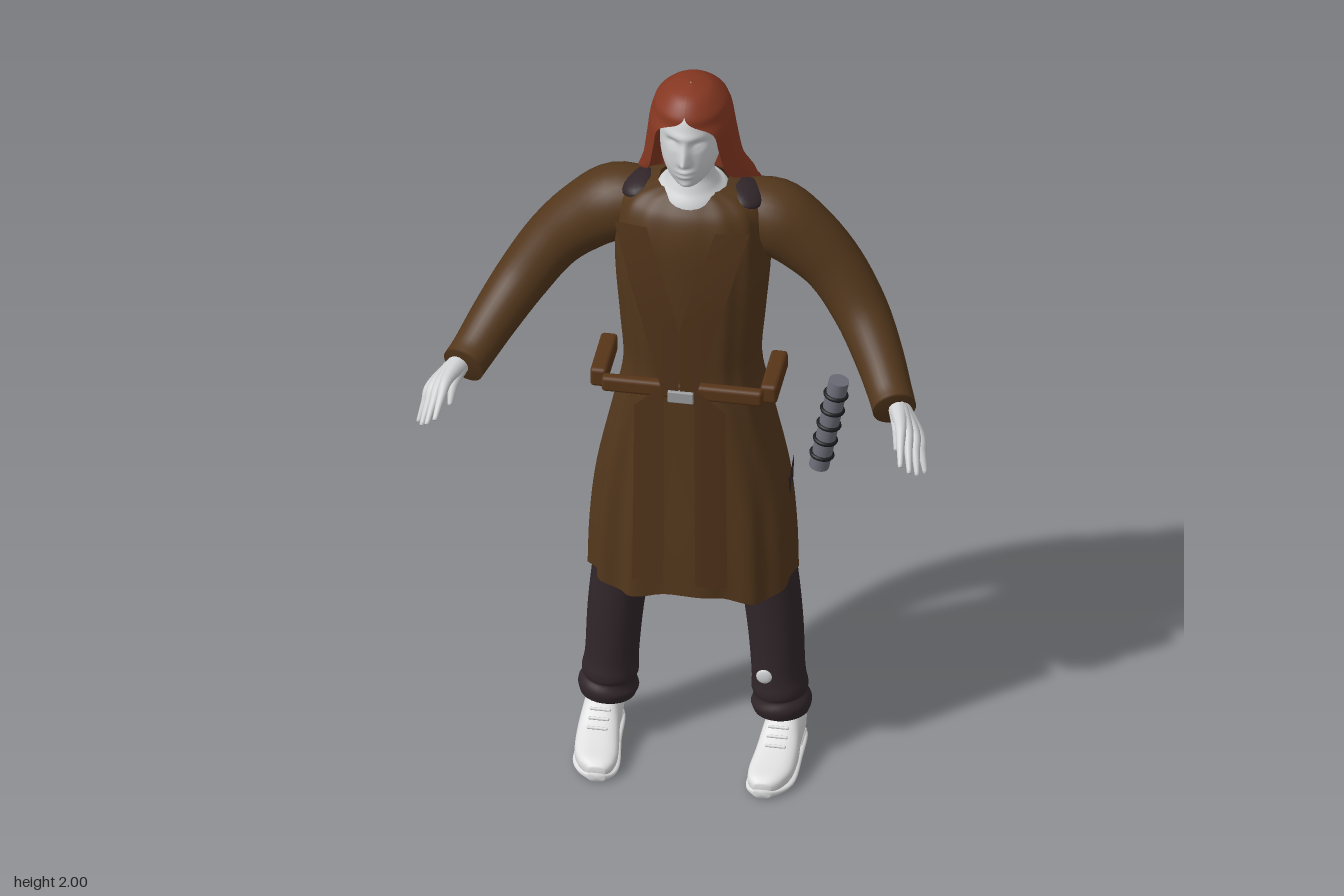
import * as THREE from 'three';
import { RoundedBoxGeometry } from 'three/addons/geometries/RoundedBoxGeometry.js';

const mat = (name, color, side = THREE.FrontSide) => {
  const m = new THREE.MeshStandardMaterial({ color, side });
  m.name = name;
  return m;
};
const V = (x, y, z) => new THREE.Vector3(x, y, z);
const spow = (v, p) => Math.sign(v) * Math.abs(v) ** p;
const bell = (v, w) => Math.exp(-((v / w) ** 2));

// Smoothly resample a table of cross-section values, n steps per interval
function spline(table, n) {
  const out = [], last = table.length - 1;
  for (let i = 0; i < last; i++) {
    const [a, b, c, d] = [i - 1, i, i + 1, i + 2].map(k => table[Math.min(last, Math.max(0, k))]);
    for (let s = 0; s < n; s++) {
      const t = s / n;
      out.push(b.map((v, k) => v + 0.5 * t * (c[k] - a[k] + t * (2 * a[k] - 5 * v + 4 * c[k] - d[k]
        + t * (3 * (v - c[k]) + d[k] - a[k])))));
    }
  }
  out.push(table[last]);
  return out;
}

// Skin a list of equally long rows of points
function skin(rows, closed) {
  const n = rows[0].length, pos = [], index = [];
  rows.forEach(r => r.forEach(p => pos.push(p.x, p.y, p.z)));
  for (let i = 0; i < rows.length - 1; i++) {
    for (let j = 0; j < (closed ? n : n - 1); j++) {
      const a = i * n + j, b = i * n + (j + 1) % n;
      index.push(a, a + n, b, b, a + n, b + n);
    }
  }
  const g = new THREE.BufferGeometry();
  g.setAttribute('position', new THREE.Float32BufferAttribute(pos, 3));
  g.setIndex(index);
  g.computeVertexNormals();
  return g;
}
const ring = (n, fn) => Array.from({ length: n }, (_, j) => fn(j / n * Math.PI * 2));
const centre = row => {
  const c = row.reduce((s, p) => s.add(p), V(0, 0, 0)).divideScalar(row.length);
  return row.map(() => c.clone());
};
const capped = rows => skin([centre(rows[0]), ...rows, centre(rows[rows.length - 1])], true);

// Round limb through [x, y, z, radius] stations; s = -1 mirrors it
function limb(table, s = 1, sides = 20, steps = 5) {
  const st = spline(table, steps).map(([x, y, z, r]) => ({ p: V(x * s, y, z), r }));
  return capped(st.map(({ p, r }, i) => {
    const T = st[Math.min(i + 1, st.length - 1)].p.clone().sub(st[Math.max(i - 1, 0)].p).normalize();
    const u = V(0.5, 0.6, 0.6);
    u.addScaledVector(T, -u.dot(T)).normalize();
    const v = u.clone().cross(T);
    return ring(sides, a => p.clone().addScaledVector(u, r * Math.cos(a)).addScaledVector(v, r * Math.sin(a)));
  }));
}

export function createModel() {
  const root = new THREE.Group();
  const M = {
    robe: mat('robe brown', 0x53371c, THREE.DoubleSide),
    tabard: mat('tabard brown', 0x50331a, THREE.DoubleSide),
    belt: mat('belt brown', 0x573518),
    hair: mat('auburn hair', 0x863822, THREE.DoubleSide),
    skin: mat('pale skin', 0xd2d3d5),
    shoe: mat('pale shoe', 0xdedede),
    dark: mat('dark cloth', 0x31262a, THREE.DoubleSide),
    steel: mat('steel', 0x6c6c78),
    black: mat('black grip', 0x1c1c20),
    buckle: mat('buckle grey', 0x9c9da0),
  };
  const add = (name, geo, m, parent = root) => {
    const mesh = new THREE.Mesh(geo, m);
    mesh.name = name;
    parent.add(mesh);
    return mesh;
  };

  // Robe: [y, half width, front z, back z], with folds growing towards the hem
  const robeRows = spline([
    [1.685, 0.085, -0.04, -0.17], [1.665, 0.14, -0.015, -0.19], [1.63, 0.172, 0.015, -0.215],
    [1.56, 0.185, 0.035, -0.232], [1.45, 0.187, 0.04, -0.235], [1.3, 0.175, 0.038, -0.228],
    [1.17, 0.167, 0.03, -0.215], [1.05, 0.19, 0.035, -0.23], [0.85, 0.23, 0.045, -0.25],
    [0.68, 0.247, 0.055, -0.256], [0.54, 0.252, 0.058, -0.256],
  ], 5).map(([y, w, f, b]) => ring(96, a => {
    const low = Math.min(1, Math.max(0, (1.15 - y) / 0.4));
    const k = 1 + 0.03 * low * Math.sin(12 * a) + 0.012 * Math.sin(14 * a + y);
    const hem = 0.012 * low * Math.sin(5 * a + 1);
    return V(w * k * spow(Math.sin(a), 0.78), y + hem, (f + b) / 2 + (f - b) / 2 * k * spow(Math.cos(a), 0.78));
  }));
  add('robe', skin(robeRows, true), M.robe);

  // Tear in the skirt
  const tear = new THREE.Shape([[-0.04, 0.04], [-0.02, 0.02], [0.0, 0.035], [0.04, 0.05], [0.035, 0.0],
    [0.02, -0.03], [0.01, 0.0], [-0.01, -0.04], [-0.025, -0.01]].map(p => new THREE.Vector2(...p)));
  const tearMesh = add('skirtTear', new THREE.ShapeGeometry(tear), M.dark);
  tearMesh.position.set(0.246, 0.83, -0.08);
  tearMesh.rotation.y = Math.PI / 2;

  // Tabard strips: [y, inner x, outer x], bowed around the front
  const strip = (table, s) => skin(spline(table, 8).map(([y, a, b]) => Array.from({ length: 6 }, (_, j) => {
    const x = a + (b - a) * j / 5;
    return V(s * x, y, 0.1 - 0.65 * x * x - 0.022 * (Math.max(0, y - 1.4) / 0.25) ** 2);
  })), false);

  for (const s of [1, -1]) {
    const side = s > 0 ? 'left' : 'right';
    add(side + 'TabardUpper', strip([[1.65, 0.085, 0.168], [1.37, 0.002, 0.09], [1.19, 0.002, 0.045]], s), M.tabard);
    add(side + 'TabardLink', strip([[1.19, 0.035, 0.05], [1.13, 0.038, 0.113]], s), M.tabard);
    add(side + 'TabardLower', strip([[1.13, 0.038, 0.113], [0.87, 0.038, 0.115], [0.61, 0.04, 0.118]], s), M.tabard);

    // Sleeve
    add(side + 'Sleeve', limb([[0.1, 1.59, -0.13, 0.075], [0.19, 1.575, -0.135, 0.095], [0.27, 1.525, -0.132, 0.087],
      [0.35, 1.45, -0.118, 0.075], [0.42, 1.355, -0.08, 0.068], [0.475, 1.28, -0.01, 0.061],
      [0.515, 1.225, 0.06, 0.055], [0.535, 1.205, 0.105, 0.054]], s, 28), M.robe);

    // Hand: fingers run from the wrist through the knuckle to the tip
    const hand = new THREE.Group();
    hand.name = side + 'Hand';
    root.add(hand);
    const fingers = {
      indexFinger: [[0.562, 1.207, 0.172], [0.577, 1.145, 0.262]],
      middleFinger: [[0.578, 1.195, 0.17], [0.598, 1.125, 0.255]],
      ringFinger: [[0.593, 1.183, 0.163], [0.614, 1.107, 0.235]],
      littleFinger: [[0.603, 1.17, 0.152], [0.628, 1.092, 0.2]],
      thumb: [[0.55, 1.185, 0.145], [0.553, 1.14, 0.185]],
    };
    for (const [name, [k, t]] of Object.entries(fingers)) {
      const mid = k.map((v, i) => (v + t[i]) / 2 + (i === 1 ? 0.005 : 0));
      add(name, limb([[0.54, 1.21, 0.09, 0.026], [...k, 0.0155], [...mid, 0.0105], [...t, 0.006]], s, 10), M.skin, hand);
    }

    // Trouser leg with a bunched cuff
    add(side + 'TrouserLeg', limb([[0.1, 0.98, -0.11, 0.085], [0.14, 0.75, -0.12, 0.082], [0.177, 0.54, -0.135, 0.073],
      [0.197, 0.38, -0.132, 0.069], [0.206, 0.24, -0.128, 0.066], [0.21, 0.19, -0.126, 0.07],
      [0.211, 0.17, -0.126, 0.066], [0.214, 0.145, -0.125, 0.075], [0.215, 0.12, -0.124, 0.068]], s, 28), M.dark);

    // Shoe: [z, centre x, half width, top y]
    const shoeRows = (table, base) => capped(spline(table, 4).map(([z, x, w, top]) => ring(28, a =>
      V(s * x + w * spow(Math.sin(a), 0.75), base + (top - base) * (0.5 + 0.5 * spow(Math.cos(a), 0.7)), z))));
    add(side + 'Shoe', shoeRows([[-0.19, 0.226, 0.022, 0.09], [-0.175, 0.226, 0.042, 0.125], [-0.12, 0.225, 0.046, 0.13],
      [-0.07, 0.224, 0.048, 0.125], [-0.02, 0.222, 0.053, 0.088], [0.04, 0.216, 0.054, 0.065],
      [0.08, 0.209, 0.042, 0.054], [0.1, 0.205, 0.02, 0.04]], 0.012), M.shoe);
    add(side + 'Sole', shoeRows([[-0.195, 0.226, 0.025, 0.024], [-0.17, 0.226, 0.046, 0.024], [-0.07, 0.224, 0.052, 0.022],
      [0.03, 0.217, 0.059, 0.02], [0.08, 0.209, 0.046, 0.022], [0.105, 0.205, 0.02, 0.026]], 0.003), M.shoe);
    const heel = add(side + 'Heel', new RoundedBoxGeometry(0.085, 0.026, 0.085, 2, 0.01), M.shoe);
    heel.position.set(s * 0.226, 0.013, -0.147);
    for (let i = 0; i < 3; i++) {
      const lace = add(side + 'Lace', new THREE.CapsuleGeometry(0.004, 0.045, 3, 8), M.shoe);
      lace.position.set(s * 0.221, 0.113 - i * 0.013, -0.045 + i * 0.022);
      lace.rotation.z = Math.PI / 2;
    }

    // Belt side, and the dark undershirt showing on the shoulder
    const bar = add(side + 'BeltBar', new RoundedBoxGeometry(0.042, 0.052, 0.165, 2, 0.01), M.belt);
    bar.position.set(s * 0.211, 1.162, -0.04);
    const patch = add(side + 'UndershirtShoulder', new THREE.SphereGeometry(1, 20, 12), M.dark);
    patch.scale.set(0.045, 0.022, 0.06);
    patch.position.set(s * 0.135, 1.655, -0.105);
    patch.rotation.z = -s * 0.3;
  }

  // Worn spots on the left trouser leg
  for (const [x, y, r] of [[0.182, 0.247, 0.02], [0.195, 0.19, 0.01]]) {
    const spot = add('trouserHole', new THREE.SphereGeometry(r, 12, 8), M.skin);
    spot.scale.z = 0.3;
    spot.position.set(x, y, -0.063);
  }

  // Belt front and buckle
  add('beltFront', new RoundedBoxGeometry(0.4, 0.042, 0.03, 2, 0.01), M.belt).position.set(0, 1.16, 0.05);
  add('buckle', new RoundedBoxGeometry(0.064, 0.032, 0.014, 2, 0.003), M.buckle).position.set(0, 1.157, 0.077);

  // Floating ringed handle
  const handle = new THREE.Group();
  handle.name = 'handle';
  handle.position.set(0.335, 0.992, -0.108);
  handle.rotation.z = -0.19;
  root.add(handle);
  add('handleTube', new THREE.CylinderGeometry(0.025, 0.025, 0.265, 24), M.steel, handle);
  for (let i = 0; i < 5; i++) {
    const grip = add('handleRing', new THREE.TorusGeometry(0.026, 0.0055, 8, 24), M.black, handle);
    grip.rotation.x = Math.PI / 2;
    grip.position.y = 0.09 - i * 0.046;
  }

  // Head: [y, half width, front z, back z], with the features pushed in and out
  const features = (x, y) => {
    const nose = y > 1.82 ? Math.max(0, (1.885 - y) / 0.065) : Math.max(0, (y - 1.802) / 0.018);
    const eye = Math.abs(x) - 0.032;
    return 0.028 * nose * bell(x, 0.012)
      - 0.013 * bell(eye, 0.017) * bell(y - 1.868, 0.012) + 0.006 * bell(eye, 0.011) * bell(y - 1.864, 0.006)
      + 0.005 * bell(y - 1.89, 0.01) * bell(x, 0.05)
      + 0.008 * bell(x, 0.02) * (bell(y - 1.789, 0.006) + bell(y - 1.773, 0.006))
      + 0.008 * bell(x, 0.02) * bell(y - 1.742, 0.012);
  };
  add('head', capped(spline([
    [1.98, 0.02, -0.05, -0.1], [1.95, 0.055, 0.0, -0.15], [1.9, 0.073, 0.024, -0.18], [1.85, 0.077, 0.026, -0.18],
    [1.8, 0.071, 0.025, -0.16], [1.76, 0.055, 0.016, -0.13], [1.735, 0.036, 0.002, -0.11], [1.72, 0.018, -0.02, -0.09],
  ], 9).map(([y, w, f, b]) => ring(96, a => {
    const x = w * Math.sin(a), c = Math.cos(a);
    return V(x, y, (f + b) / 2 + (f - b) / 2 * c + (c > 0 ? features(x, y) * Math.min(1, c * 3) : 0));
  }))), M.skin);
  add('neck', limb([[0, 1.79, -0.085, 0.052], [0, 1.73, -0.09, 0.054], [0, 1.695, -0.09, 0.066],
    [0, 1.67, -0.092, 0.088], [0, 1.63, -0.1, 0.1]], 1, 28), M.skin);

  // Hair shell: [y, half width, front edge z, back z, half angle around the back]
  add('hair', skin(spline([
    [2.0, 0.002, -0.06, -0.064, Math.PI], [1.987, 0.05, -0.005, -0.13, Math.PI], [1.955, 0.084, 0.026, -0.178, Math.PI],
    [1.932, 0.094, 0.03, -0.193, 2.95], [1.9, 0.102, 0.012, -0.205, 2.4], [1.84, 0.11, 0.0, -0.217, 2.3],
    [1.76, 0.122, -0.025, -0.23, 2.2], [1.7, 0.138, -0.11, -0.245, 1.85], [1.655, 0.15, -0.18, -0.255, 1.6],
    [1.57, 0.154, -0.25, -0.272, 1.57],
  ], 5).map(([y, w, f, b, open]) => {
    const phi = Math.min(Math.PI, open), d = (f - b) / (1 - Math.cos(phi));
    const wave = 0.004 * Math.min(1, Math.max(0, (1.93 - y) / 0.2));
    return Array.from({ length: 65 }, (_, j) => {
      const t = j / 32 - 1, a = -t * phi;
      const jag = y < 1.6 ? 0.008 * Math.sin(t * 13) : 0;
      return V(w * Math.sin(a), y + jag, b + d - d * Math.cos(a) + wave * Math.sin(t * 22));
    });
  }), false), M.hair);

  return root;
}
